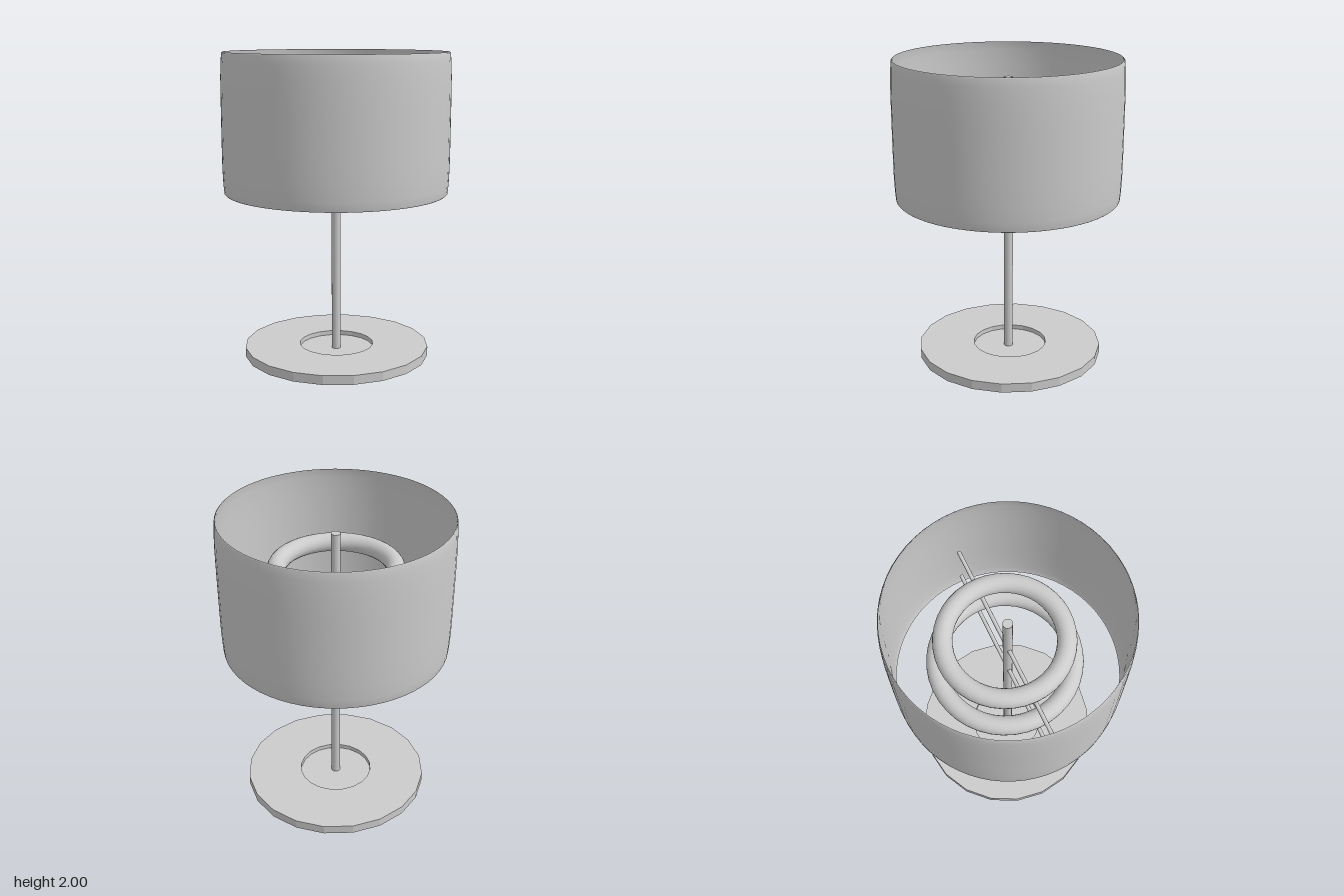
import * as THREE from 'three';

const v2 = (x, y) => new THREE.Vector2(x, y);

export function createModel() {
  const lamp = new THREE.Group();
  lamp.name = 'tableLamp';

  const smooth = new THREE.MeshStandardMaterial({ color: 0xcccccc });
  const faceted = new THREE.MeshStandardMaterial({ color: 0xcccccc, flatShading: true });
  const sheet = new THREE.MeshStandardMaterial({ color: 0xcccccc, side: THREE.DoubleSide });

  const add = (name, geometry, material, x, y, z) => {
    const mesh = new THREE.Mesh(geometry, material);
    mesh.name = name;
    mesh.position.set(x, y, z);
    lamp.add(mesh);
    return mesh;
  };

  // Twenty-sided base disc with a shallow round recess in its top
  const baseProfile = [
    v2(0, 0), v2(0.612, 0), v2(0.612, 0.06),
    v2(0.245, 0.06), v2(0.245, 0.03), v2(0, 0.03),
  ];
  add('base', new THREE.LatheGeometry(baseProfile, 20), faceted, 0.008, 0, -0.012);

  // Central pole, standing in the recess
  const poleBottom = 0.03, poleTop = 1.88;
  add('pole', new THREE.CylinderGeometry(0.03, 0.03, poleTop - poleBottom, 20), smooth,
    0.002, (poleBottom + poleTop) / 2, -0.004);

  // Thin drum shade, open at both ends and drawn in slightly at the rims
  const shadeProfile = [
    v2(0.718, 1.1), v2(0.724, 1.105), v2(0.729, 1.16), v2(0.733, 1.26), v2(0.734, 1.4),
    v2(0.734, 1.7), v2(0.733, 1.84), v2(0.729, 1.94), v2(0.724, 1.995), v2(0.718, 2),
  ];
  add('shade', new THREE.LatheGeometry(shadeProfile, 64), sheet, 0, 0, -0.003);

  // Two ring bulbs, each above a cross rod that passes through the pole
  const tiers = [
    { name: 'lower', radius: 0.43, ringY: 1.325, rodY: 1.2 },
    { name: 'upper', radius: 0.368, ringY: 1.65, rodY: 1.53 },
  ];
  for (const { name, radius, ringY, rodY } of tiers) {
    add(name + 'RingBulb', new THREE.TorusGeometry(radius, 0.06, 20, 40), smooth,
      0.008, ringY, -0.02).rotation.x = Math.PI / 2;
    add(name + 'CrossRod', new THREE.CylinderGeometry(0.013, 0.013, 1.41, 12), smooth,
      0.004, rodY, -0.006).rotation.z = Math.PI / 2;
  }

  return lamp;
}
